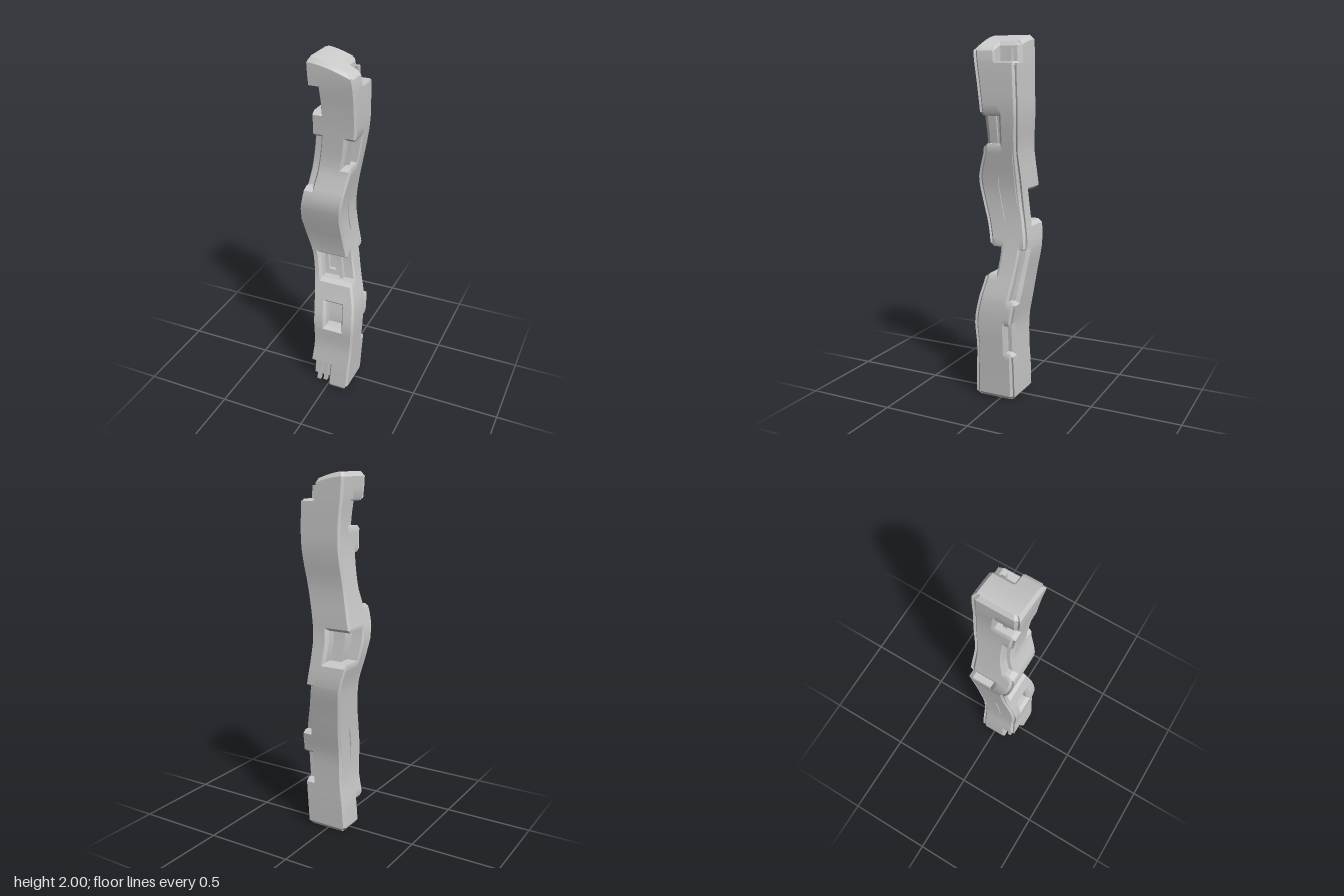
import * as THREE from 'three';
import { toCreasedNormals } from 'three/addons/utils/BufferGeometryUtils.js';

// Outline of the crooked post: height, x min, x max, z min, z max
const PROFILE = [
  [0, -0.115, 0.125, -0.09, 0.15],
  [0.15, -0.105, 0.135, -0.09, 0.143],
  [0.3, -0.088, 0.146, -0.088, 0.133],
  [0.45, -0.087, 0.155, -0.09, 0.14],
  [0.58, -0.092, 0.15, -0.11, 0.118],
  [0.72, -0.102, 0.12, -0.13, 0.085],
  [0.87, -0.117, 0.095, -0.15, 0.073],
  [1.0, -0.145, 0.08, -0.135, 0.095],
  [1.13, -0.16, 0.075, -0.115, 0.13],
  [1.25, -0.14, 0.087, -0.108, 0.145],
  [1.4, -0.115, 0.115, -0.1, 0.1],
  [1.6, -0.092, 0.145, -0.115, 0.105],
  [1.75, -0.09, 0.15, -0.112, 0.12],
  [1.88, -0.1, 0.148, -0.107, 0.138],
  [2, -0.105, 0.14, -0.1, 0.143],
];

// Cuts in post space (across and deep run -1..1): a0, a1, y0, y1, c0, c1, rim bevel
const CUTS = [
  [-2, -0.6, 1.72, 1.85, 0, 2, 1],        // upper right-hand notch
  [-2, -0.6, 1.3, 1.58, 0.6, 2, 1],       // long edge gouge
  [0.6, 2, 1.43, 1.58, 0, 2, 1],          // front corner notch
  [-0.6, 2, 0.72, 0.87, 0.4, 2, 1],       // wide front notch
  [-0.4, 0.4, 0.43, 0.58, 0.4, 2, 1],     // front pocket
  [-2, 0, -1, 0.15, 0.4, 2, 1],           // foot notch
  [0.4, 2, 1.86, 3, -2, 0, 1],            // broken top corner
  [0.6, 2, 0.58, 0.86, -2, -0.6, 1],      // back corner gouges
  [0.6, 2, 0.28, 0.44, -2, -0.6, 1],
  [-2, 0.2, 1.0, 1.17, -2, -0.4, 1],      // back notch around an inner core
  [-2, -0.4, 1.0, 1.17, -2, 0.2, 1],
  [-0.4, 0, 0.75, 0.84, 0.2, 0.4, 0],     // deeper recess in the wide notch
  [0.94, 2, 1.02, 1.25, 0, 0.07, 0],      // thin cracks
  [0.94, 2, 1.1, 1.38, -0.75, -0.7, 0],
  [-2, -0.94, 0.4, 0.6, 0, 0.07, 0],
];

// Smooth interpolation of one profile column
function profileAt(y, col) {
  const n = PROFILE.length;
  let i = 0;
  while (i < n - 2 && y > PROFILE[i + 1][0]) i++;
  const slope = (k) => {
    const p = PROFILE[Math.max(0, k - 1)], q = PROFILE[Math.min(n - 1, k + 1)];
    return (q[col] - p[col]) / (q[0] - p[0]);
  };
  const [p, q] = [PROFILE[i], PROFILE[i + 1]];
  const h = q[0] - p[0], t = (y - p[0]) / h, t2 = t * t, t3 = t2 * t;
  return (2 * t3 - 3 * t2 + 1) * p[col] + (t3 - 2 * t2 + t) * h * slope(i)
    + (3 * t2 - 2 * t3) * q[col] + (t3 - t2) * h * slope(i + 1);
}

// Post space to model space: rim bevels, chamfered corners, sloped top, bends
function mapPoint([a0, y0, c0]) {
  let a = a0, y = y0, c = c0;
  const onSide = Math.abs(a0) === 1 || Math.abs(c0) === 1;
  const onEnd = y0 === 0 || y0 === 2;
  if (onSide || onEnd) {
    for (const [aMin, aMax, yMin, yMax, cMin, cMax, bevel] of CUTS) {
      if (!bevel || a0 < aMin || a0 > aMax || y0 < yMin || y0 > yMax || c0 < cMin || c0 > cMax) continue;
      if (a0 === aMin) a = a0 - 0.11;
      if (a0 === aMax) a = a0 + 0.11;
      if (c0 === cMin) c = c0 - 0.11;
      if (c0 === cMax) c = c0 + 0.11;
      if (y0 === yMin) y = y0 - 0.018;
      if (y0 === yMax) y = y0 + 0.018;
    }
  }
  if (Math.abs(a0) === 1 && Math.abs(c0) === 1) { a *= 0.9; c *= 0.9; }
  if (onEnd) { a *= 0.86; c *= 0.86; }
  const x = THREE.MathUtils.lerp(profileAt(y, 1), profileAt(y, 2), (a + 1) / 2);
  const z = THREE.MathUtils.lerp(profileAt(y, 3), profileAt(y, 4), (c + 1) / 2);
  const ramp = Math.max(0, (y - 1.86) / 0.14);
  return [x, y - ramp * 0.075 * Math.pow(Math.max(0, (a + 0.86) / 1.86), 1.5), z];
}

// Grid lines along one axis: cut edges first, then regular lines kept clear of them
function gridLines(axis, min, max, step, gap, extra) {
  const lines = [min, max, ...extra];
  for (const cut of CUTS) for (const v of [cut[axis * 2], cut[axis * 2 + 1]])
    if (v > min && v < max && !lines.includes(v)) lines.push(v);
  const fixed = [...lines];
  for (let v = min + step; v < max - gap; v += step)
    if (fixed.every((f) => Math.abs(f - v) > gap)) lines.push(v);
  return lines.sort((p, q) => p - q);
}

function carvedPost() {
  const lines = [
    gridLines(0, -1, 1, 0.2, 0.1, [-0.8, 0.8]),
    gridLines(1, 0, 2, 0.04, 0.025, [0.022, 1.975]),
    gridLines(2, -1, 1, 0.2, 0.1, [-0.8, 0.8]),
  ];
  const solid = (cell) => {
    if (cell.some((i, k) => i < 0 || i >= lines[k].length - 1)) return false;
    const m = cell.map((i, k) => (lines[k][i] + lines[k][i + 1]) / 2);
    return !CUTS.some((b) => m.every((v, k) => v > b[k * 2] && v < b[k * 2 + 1]));
  };
  const positions = [];
  // One quad for every cell side that faces open air
  const addSide = (cell, axis, side) => {
    const next = [...cell];
    next[axis] += side ? 1 : -1;
    if (solid(next)) return;
    const u = (axis + 1) % 3, v = (axis + 2) % 3;
    const quad = [[0, 0], [1, 0], [1, 1], [0, 1]].map(([du, dv]) => {
      const at = [...cell];
      at[axis] += side; at[u] += du; at[v] += dv;
      return mapPoint(at.map((i, k) => lines[k][i]));
    });
    if (!side) quad.reverse();
    for (const i of [0, 1, 2, 0, 2, 3]) positions.push(...quad[i]);
  };
  for (let i = 0; i < lines[0].length - 1; i++)
    for (let j = 0; j < lines[1].length - 1; j++)
      for (let k = 0; k < lines[2].length - 1; k++) {
        const cell = [i, j, k];
        if (!solid(cell)) continue;
        for (let axis = 0; axis < 3; axis++) for (const side of [0, 1]) addSide(cell, axis, side);
      }
  const geometry = new THREE.BufferGeometry();
  geometry.setAttribute('position', new THREE.Float32BufferAttribute(positions, 3));
  return toCreasedNormals(geometry, 0.45);
}

export function createModel() {
  const group = new THREE.Group();
  group.name = 'woodenPost';
  const material = new THREE.MeshStandardMaterial({ color: 0xcccccc });
  const post = new THREE.Mesh(carvedPost(), material);
  post.name = 'carvedPost';
  group.add(post);

  // Splinters of grain left standing inside the larger notches: across, deep, bottom, top
  const splinters = [
    [0.35, 0.5, 0.71, 0.88], [-0.62, 0.55, 0.0, 0.16], [-0.3, 0.5, 0.0, 0.16],
    [-0.62, 0.35, 1.71, 1.86], [0.62, 0.4, 1.42, 1.59], [0.55, -0.55, 1.84, 1.93],
  ];
  for (const [a, c, y0, y1] of splinters) {
    const geometry = new THREE.BoxGeometry(0.022, y1 - y0, 0.022, 1, 4, 1);
    const pos = geometry.attributes.position;
    for (let i = 0; i < pos.count; i++) {
      const y = pos.getY(i) + (y0 + y1) / 2;
      const [x, , z] = mapPoint([a, y, c]);
      pos.setXYZ(i, pos.getX(i) + x, y, pos.getZ(i) + z);
    }
    geometry.computeVertexNormals();
    const splinter = new THREE.Mesh(geometry, material);
    splinter.name = 'splinter';
    group.add(splinter);
  }
  return group;
}
